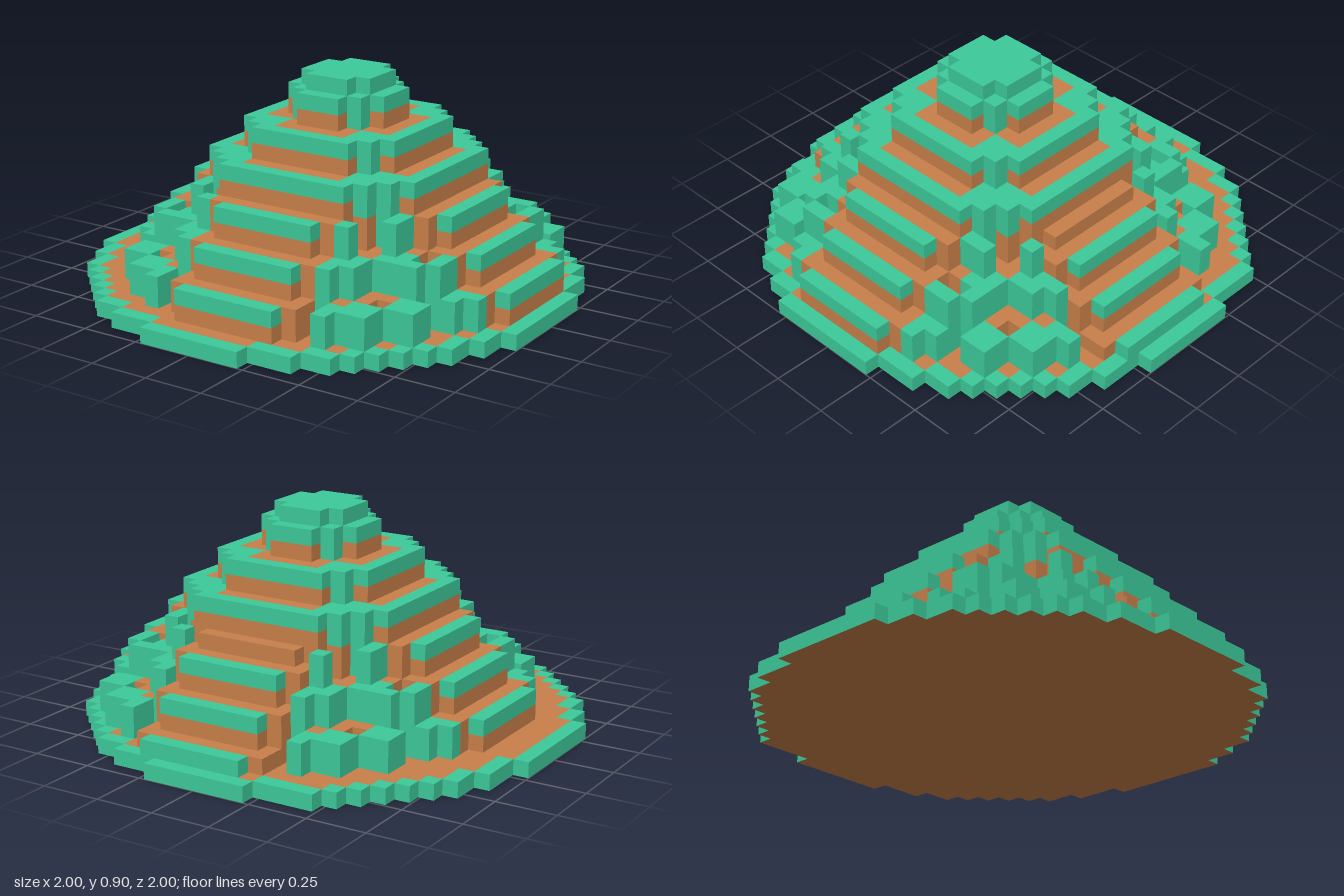
import * as THREE from 'three';

const N = 31, S = 2 / N, LEVELS = 14;
// Reach of each level from the middle, and half-width of its straight flank
const REACH = [15, 13, 13, 11, 11, 9, 9, 7, 7, 5, 5, 3, 3, 2];
const BACK = [15, 14, 12, 12, 10, 10, 8, 7, 7, 5, 5, 3, 3, 2];
const FLANK = [4, 4, 4, 4, 4, 4, 4, 4, 4, 3, 3, 1, 1, 1];

const inBase = (x, z) => (x - 15) ** 2 + (z - 15) ** 2 <= 236
  || (x === 8 && z === 1) || (z === 19 && (x === 0 || x === 30));

function locate(x, z) {
  const dx = Math.abs(x - 16), dz = Math.abs(z - 15);
  const far = Math.max(dx, dz), side = Math.min(dx, dz);
  const back = z < 15 && dz >= dx && dx <= 4;
  return { dx, dz, far, side, back, reach: back ? BACK : REACH };
}

// Scattered pits in the rubble between the stepped flanks
const isPit = ({ dx, dz, side }) => side > 4 && (dx * 7 + dz * 13 + dx * dz * 5) % 10 < 4;

function columnHeight(x, z) {
  if (!inBase(x, z)) return 0;
  const c = locate(x, z);
  let h = 1;
  while (h < LEVELS) {
    const r = c.reach[h], w = FLANK[h];
    const limit = c.side === 4 && h < 7 ? r - 1 : r;
    const fits = c.side <= w ? c.far <= limit
      : c.far <= r && c.dx ** 2 + c.dz ** 2 <= r * r + w * w;
    if (!fits) break;
    h++;
  }
  if (isPit(c) && h <= 7) h = Math.max(1, h - 2);
  return h;
}

function isGreen(x, y, z) {
  if (y === 0) {
    return !(inBase(x - 1, z) && inBase(x + 1, z) && inBase(x, z - 1) && inBase(x, z + 1));
  }
  if (y >= 12) return true;
  const c = locate(x, z), w = FLANK[y];
  if (c.side > w) return y > 6 || !isPit(c);
  if (y < 7) {
    const tread = c.back ? y % 2 === 1 : y % 2 === 0;
    return tread && c.side < 4 && c.far === c.reach[y];
  }
  // upper terraces: green lip, earth behind it, green corners
  if (y % 2 === 1) return false;
  return c.far === c.reach[y] || c.side > w - 1;
}

// Face directions with corners in counter-clockwise order
const FACES = [
  [[1, 0, 0], [[1, 0, 1], [1, 0, 0], [1, 1, 0], [1, 1, 1]]],
  [[-1, 0, 0], [[0, 0, 0], [0, 0, 1], [0, 1, 1], [0, 1, 0]]],
  [[0, 1, 0], [[0, 1, 1], [1, 1, 1], [1, 1, 0], [0, 1, 0]]],
  [[0, -1, 0], [[0, 0, 0], [1, 0, 0], [1, 0, 1], [0, 0, 1]]],
  [[0, 0, 1], [[0, 0, 1], [1, 0, 1], [1, 1, 1], [0, 1, 1]]],
  [[0, 0, -1], [[1, 0, 0], [0, 0, 0], [0, 1, 0], [1, 1, 0]]],
];

function makeMesh(name, color, data) {
  const g = new THREE.BufferGeometry();
  g.setAttribute('position', new THREE.Float32BufferAttribute(data, 3));
  g.computeVertexNormals();
  const mesh = new THREE.Mesh(g, new THREE.MeshStandardMaterial({ color, flatShading: true }));
  mesh.name = name;
  return mesh;
}

export function createModel() {
  const heights = [];
  for (let x = 0; x < N; x++) {
    heights.push([]);
    for (let z = 0; z < N; z++) heights[x].push(columnHeight(x, z));
  }
  const solid = (x, y, z) => y >= 0 && (heights[x]?.[z] ?? 0) > y;

  // Collect the exposed cube faces by material
  const grass = [], earth = [];
  for (let x = 0; x < N; x++) for (let z = 0; z < N; z++) {
    for (let y = 0; y < heights[x][z]; y++) {
      for (const [d, corners] of FACES) {
        if (solid(x + d[0], y + d[1], z + d[2])) continue;
        const out = d[1] >= 0 && isGreen(x, y, z) ? grass : earth;
        for (const i of [0, 1, 2, 0, 2, 3]) {
          const k = corners[i];
          out.push((x + k[0]) * S - 1, (y + k[1]) * S, (z + k[2]) * S - 1);
        }
      }
    }
  }

  const group = new THREE.Group();
  group.name = 'steppedMound';
  group.add(makeMesh('grassBlocks', 0x3cc99a, grass));
  group.add(makeMesh('earthBlocks', 0xc8804a, earth));
  return group;
}
